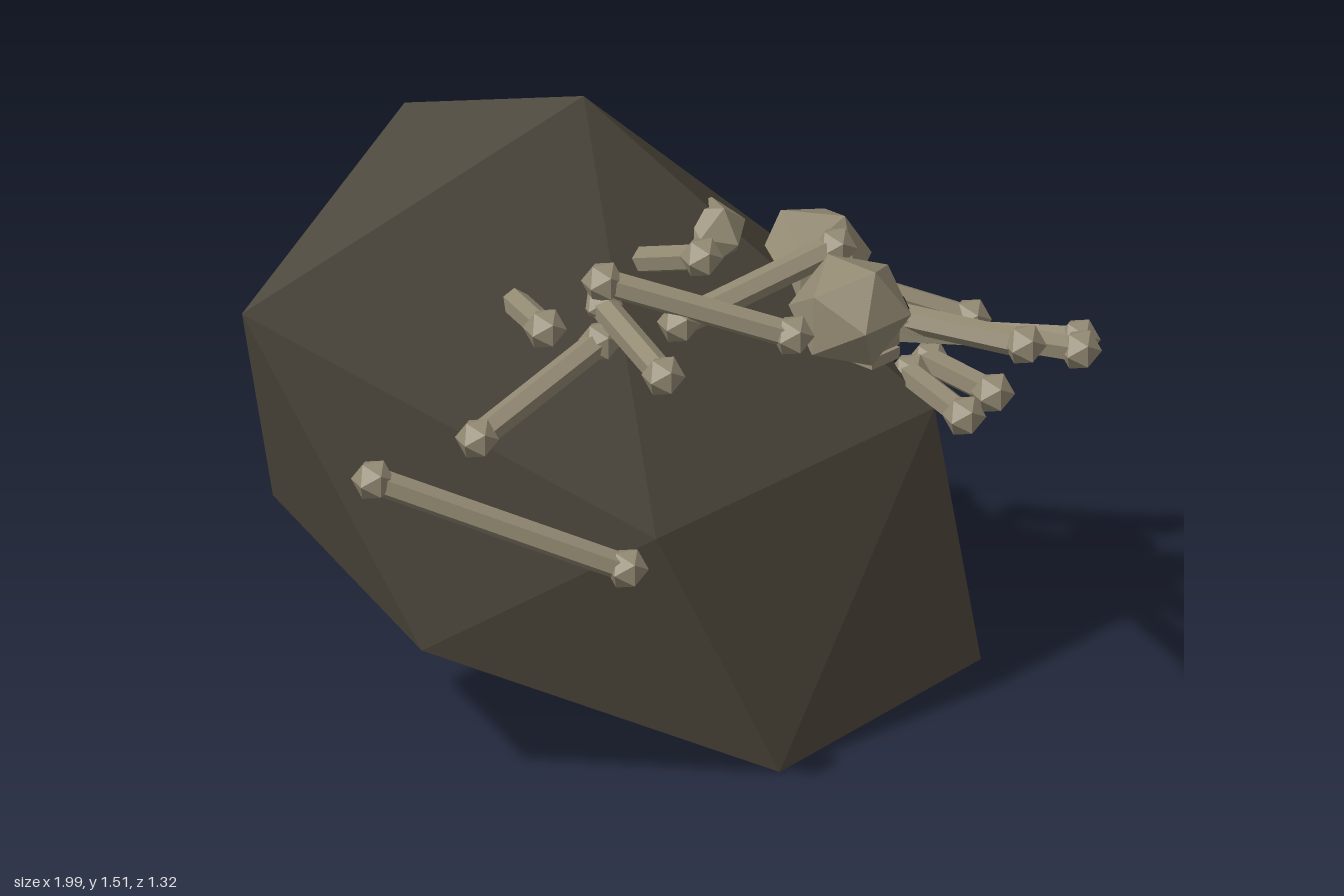
import * as THREE from 'three';
import { ConvexGeometry } from 'three/addons/geometries/ConvexGeometry.js';

const mat = (name, color) => {
  const m = new THREE.MeshStandardMaterial({ color });
  m.name = name;
  return m;
};

export function createModel() {
  const rockMat = mat('dark rock', 0x4b453a);
  const boneMat = mat('old bone', 0x938a73);
  const socketMat = mat('socket black', 0x161616);

  const model = new THREE.Group();
  model.name = 'boneBoulder';
  const V = (p) => new THREE.Vector3(...p);
  const add = (parent, name, geo, material, pos = [0, 0, 0], scale = [1, 1, 1]) => {
    const mesh = new THREE.Mesh(geo, material);
    mesh.name = name;
    mesh.position.set(...pos);
    mesh.scale.set(...scale);
    parent.add(mesh);
    return mesh;
  };

  // Leaning twelve-cornered boulder
  const corners = [
    [-1, 1.16, -0.06], [-0.455, 1.435, -0.365], [-0.14, 1.51, -0.09], [0.41, 0.98, -0.11],
    [0.57, 0.73, 0.25], [0.68, 0.08, 0.26], [0.1, 0, 0.435], [-0.28, 0.12, 0.04],
    [-0.69, 0.38, 0.23], [-0.9, 0.66, -0.11], [-0.18, 0.62, 0.38], [0.17, 0.65, -0.16],
  ];
  add(model, 'boulder', new ConvexGeometry(corners.map(V)), rockMat);

  // Loose bones: six-sided shaft with a faceted knob at each end
  const ico = new THREE.IcosahedronGeometry(1, 0);
  const shaft = new THREE.CylinderGeometry(0.032, 0.032, 1, 6).toNonIndexed();
  shaft.computeVertexNormals();
  const bones = [
    [[-0.89, 0.93, 0.40], [-0.36, 0.69, 0.61]],
    [[-0.03, 1.26, 0.30], [-0.08, 1.14, 0.03]],
    [[-0.19, 1.06, 0.44], [-0.19, 1.09, 0.11]],
    [[-0.19, 1.15, 0.12], [0.20, 1.01, 0.29]],
    [[-0.60, 0.94, 0.33], [-0.22, 1.03, 0.17]],
    [[-0.39, 1.13, 0.24], [-0.37, 1.09, -0.27]],
    [[-0.03, 1.04, 0.18], [0.38, 1.12, 0.13]],
    [[0.48, 0.89, 0.60], [0.55, 0.78, 0.16]],
    [[0.57, 0.91, 0.56], [0.65, 0.74, 0.05]],
    [[0.95, 0.80, 0.20], [0.50, 0.82, -0.03]],
    [[0.93, 0.80, 0.25], [0.50, 0.88, 0.03]],
    [[0.77, 0.87, 0.30], [0.45, 0.87, -0.10]],
    [[0.83, 0.73, -0.12], [0.40, 0.91, -0.26]],
    [[-0.24, 0.83, -0.62], [0.06, 0.88, -0.24]],
    [[0.04, 0.90, -0.42], [-0.32, 0.93, -0.31]],
    [[0.17, 1.08, -0.36], [0.22, 1.02, -0.10]],
    [[-0.67, 0.91, -0.34], [-0.31, 0.92, -0.27]],
  ];
  for (const [p, q] of bones) {
    const bone = new THREE.Group();
    bone.name = 'bone';
    const a = V(p), b = V(q), dir = b.clone().sub(a);
    const mid = a.clone().add(b).multiplyScalar(0.5);
    const rod = add(bone, 'boneShaft', shaft, boneMat, mid.toArray(), [1, dir.length(), 1]);
    rod.quaternion.setFromUnitVectors(new THREE.Vector3(0, 1, 0), dir.normalize());
    for (const end of [p, q]) add(bone, 'boneKnob', ico, boneMat, end, [0.05, 0.05, 0.05]);
    model.add(bone);
  }

  // Skulls: faceted cranium, dark sockets, nose hole and a blocky jaw
  const box = new THREE.BoxGeometry(1, 1, 1);
  const nose = new THREE.ConeGeometry(0.1, 0.22, 3).toNonIndexed();
  nose.computeVertexNormals();
  const addSkull = (pos, facing, r) => {
    const skull = new THREE.Group();
    skull.name = 'skull';
    skull.position.set(...pos);
    skull.lookAt(V(pos).add(V(facing)));
    skull.scale.setScalar(r);
    add(skull, 'cranium', ico, boneMat, [0, 0, 0], [1, 1, 1.1]);
    add(skull, 'cheeks', box, boneMat, [0, -0.5, 0.5], [0.85, 0.5, 0.6]);
    add(skull, 'jaw', box, boneMat, [0, -0.92, 0.5], [0.8, 0.2, 0.7]);
    for (const s of [-1, 1]) {
      add(skull, 'eyeSocket', ico, socketMat, [s * 0.36, -0.1, 0.82], [0.2, 0.27, 0.16]);
    }
    add(skull, 'noseHole', nose, socketMat, [0, -0.42, 0.8]);
    model.add(skull);
  };
  addSkull([0.37, 1.01, 0.23], [0.9, -0.05, -0.4], 0.135);
  addSkull([0.37, 1.04, 0.03], [0.6, -0.05, -0.8], 0.14);
  addSkull([0.04, 1.08, -0.21], [-0.35, -0.25, -0.9], 0.09);
  addSkull([0.12, 1.16, 0.02], [-0.3, -0.5, -0.8], 0.085);

  return model;
}
